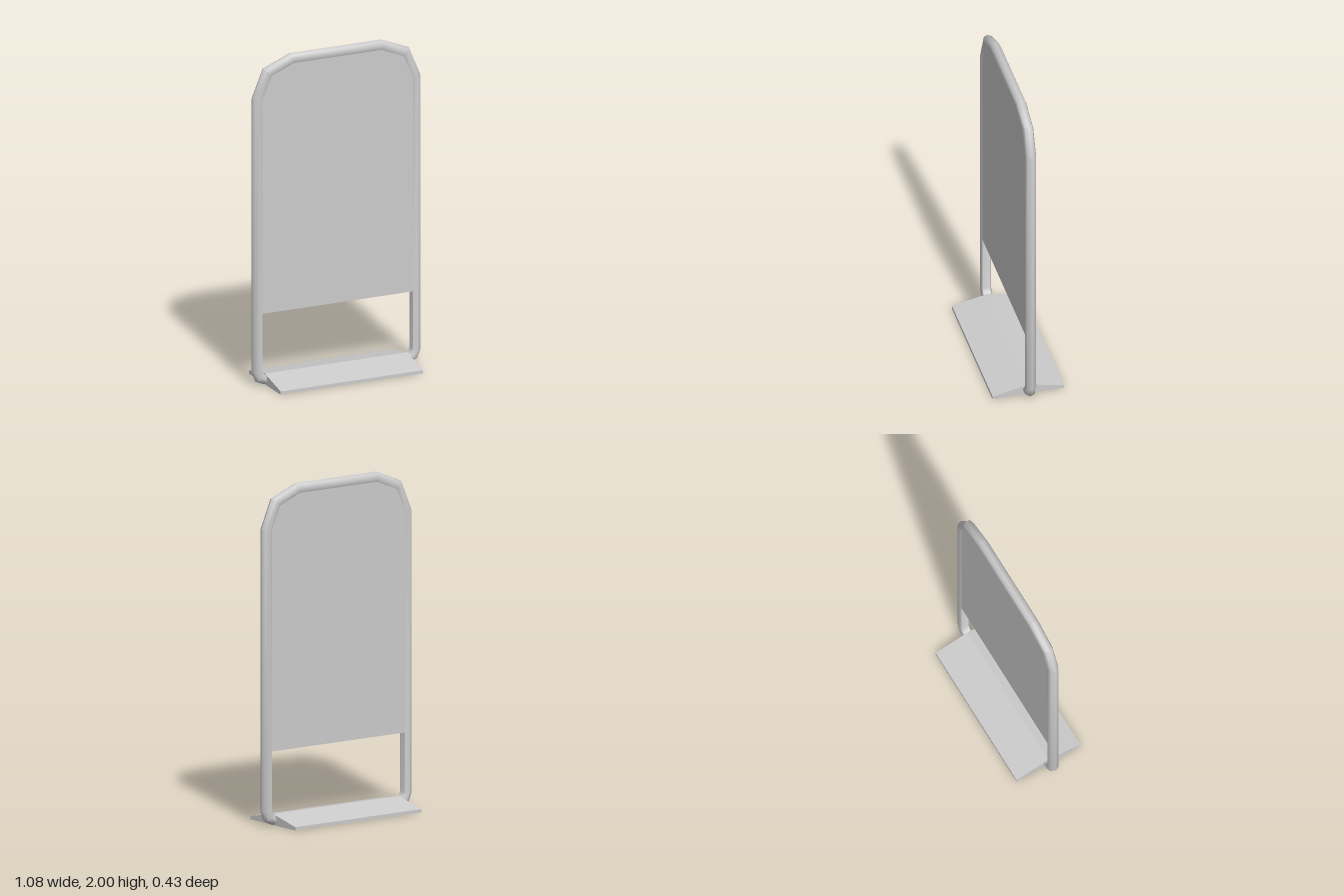
import * as THREE from 'three';
import { toCreasedNormals } from 'three/addons/utils/BufferGeometryUtils.js';

const R = 0.033;              // frame tube radius
const FLAT = R * Math.SQRT1_2; // distance of the flat inner side, also half the panel thickness
const PANEL_BOTTOM = 0.44;

// Centre line of the frame: right half going up, then mirrored
function framePath() {
  const arc = (cx, cy, r, from) => [0, 1, 2].map((i) => {
    const a = from + (i * Math.PI) / 4;
    return new THREE.Vector2(cx + r * Math.cos(a), cy + r * Math.sin(a));
  });
  const half = [...arc(0.455, 0.085, 0.052, -Math.PI / 2), ...arc(0.285, 1.745, 0.222, 0)];
  half.unshift(new THREE.Vector2(0.44, 0.033));
  return [...half, ...half.map((p) => new THREE.Vector2(-p.x, p.y)).reverse()];
}

// Outward mitre vector at each path point
function mitres(path) {
  const normal = (a, b) => new THREE.Vector2(b.y - a.y, a.x - b.x).normalize();
  return path.map((p, i) => {
    const n1 = normal(path[Math.max(i - 1, 0)], path[Math.max(i, 1)]);
    const last = path.length - 1;
    const n2 = normal(path[Math.min(i, last - 1)], path[Math.min(i + 1, last)]);
    const m = n1.clone().add(n2).normalize();
    return m.divideScalar(m.dot(n1));
  });
}

// Octagonal section with its inner corner cut flat, swept along the path
function frameGeometry(path, out) {
  const section = [-3, -2, -1, 0, 1, 2, 3].map((k) => [R * Math.cos(k * Math.PI / 4), R * Math.sin(k * Math.PI / 4)]);
  const n = section.length;
  const pos = [], index = [];
  path.forEach((p, j) => {
    section.forEach(([o, z], k) => {
      pos.push(p.x + out[j].x * o, p.y + out[j].y * o, z);
      if (j === path.length - 1) return;
      const a = j * n + k, c = j * n + (k + 1) % n;
      index.push(a, a + n, c, a + n, c + n, c);
    });
  });
  const geo = new THREE.BufferGeometry();
  geo.setAttribute('position', new THREE.Float32BufferAttribute(pos, 3));
  geo.setIndex(index);
  return toCreasedNormals(geo, THREE.MathUtils.degToRad(50));
}

export function createModel() {
  const group = new THREE.Group();
  const material = new THREE.MeshStandardMaterial({ color: 0xcccccc });
  const add = (name, geometry) => {
    const mesh = new THREE.Mesh(geometry, material);
    mesh.name = name;
    group.add(mesh);
    return mesh;
  };

  const path = framePath();
  const out = mitres(path);
  add('frame', frameGeometry(path, out));

  // Panel fills the frame down to its lower edge, flush with the flat inner side
  const inner = path.map((p, i) => p.clone().addScaledVector(out[i], -FLAT)).filter((p) => p.y > 1);
  const side = 0.507 - FLAT;
  const outline = [new THREE.Vector2(side, PANEL_BOTTOM), ...inner, new THREE.Vector2(-side, PANEL_BOTTOM)];
  const panel = new THREE.ExtrudeGeometry(new THREE.Shape(outline), { depth: 2 * FLAT, bevelEnabled: false });
  add('panel', panel.translate(0, 0, -FLAT));

  // Low ridged foot, its profile extruded along x
  const profile = [[-0.215, 0], [0.215, 0], [0.215, 0.02], [0, 0.065], [-0.215, 0.02]];
  const foot = new THREE.ExtrudeGeometry(
    new THREE.Shape(profile.map(([z, y]) => new THREE.Vector2(z, y))),
    { depth: 0.914, bevelEnabled: false },
  );
  add('foot', foot.translate(0, 0, -0.457).rotateY(Math.PI / 2));

  return group;
}
